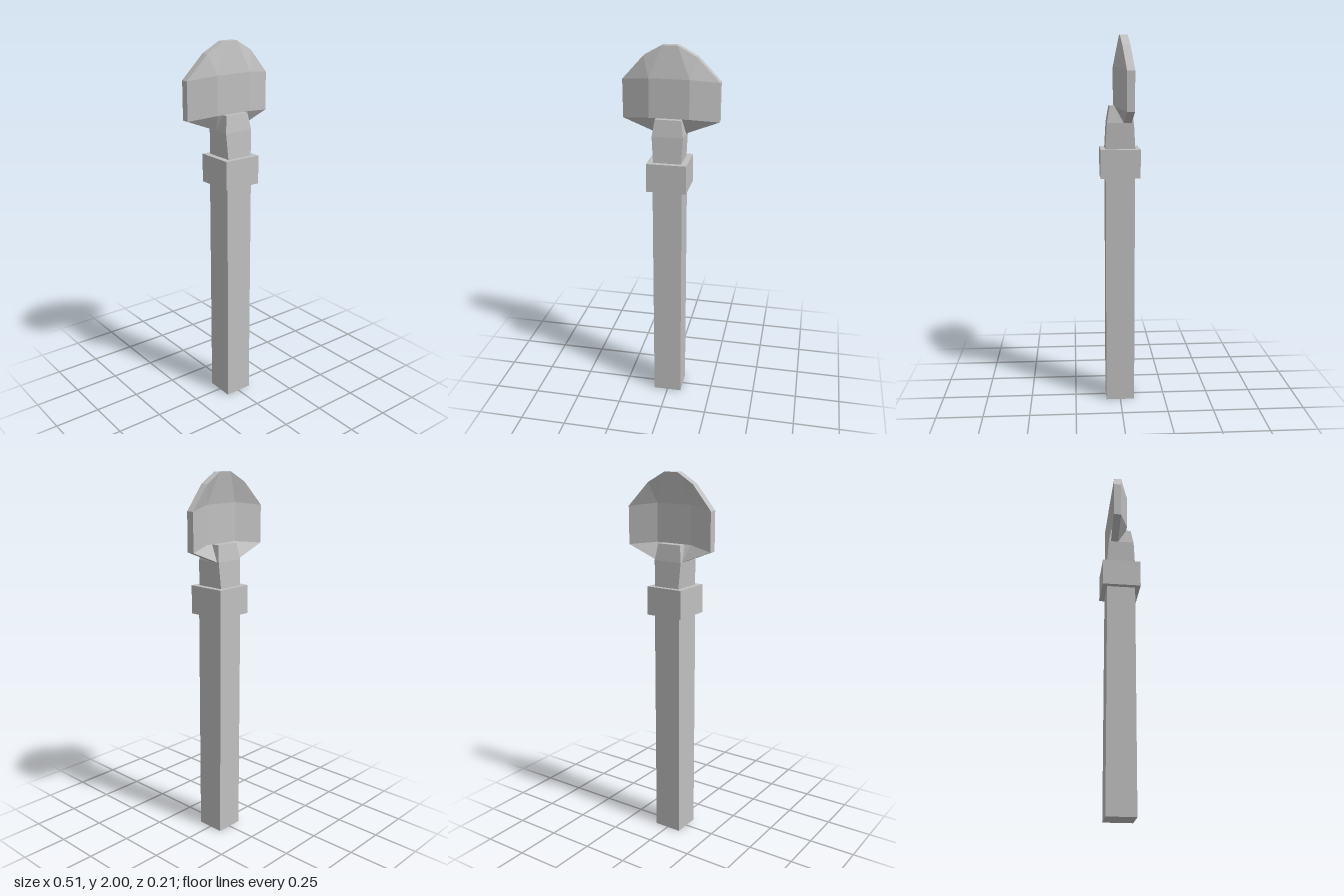
import * as THREE from 'three';

const steel = new THREE.MeshStandardMaterial({ color: 0xc0c0c0, flatShading: true });
steel.name = 'grey';

function part(name, geometry, y = 0) {
  const mesh = new THREE.Mesh(geometry, steel);
  mesh.name = name;
  mesh.position.y = y;
  return mesh;
}

// square block standing on height y0
function block(name, width, y0, y1) {
  return part(name, new THREE.BoxGeometry(width, y1 - y0, width), (y0 + y1) / 2);
}

// tapering block: each level gives height, half width and half depth
function socketGeometry() {
  const levels = [[1.4, 0.073, 0.08], [1.55, 0.082, 0.071], [1.637, 0.068, 0.056]];
  const geometry = new THREE.BoxGeometry(2, 2, 2, 1, 2, 1);
  const p = geometry.attributes.position;
  for (let i = 0; i < p.count; i++) {
    const [y, w, d] = levels[Math.round(p.getY(i)) + 1];
    p.setXYZ(i, p.getX(i) * w, y, p.getZ(i) * d);
  }
  geometry.computeVertexNormals();
  return geometry;
}

// dished blade: an outer rim joined to a raised centre plate, given thickness
function bladeGeometry() {
  const half = [[0.08, 1.55, -0.018], [0.254, 1.618, -0.021], [0.254, 1.82, -0.021],
    [0.138, 1.945, -0.006], [0.04, 2, 0.001]];
  const mirror = ([x, y, z]) => [-x, y, z];
  const rim = [...half, ...half.map(mirror).reverse()];
  const plate = [[0.105, 1.637, 0.03], [0.105, 1.84, 0.03], [-0.105, 1.84, 0.03], [-0.105, 1.637, 0.03]];
  const corner = [0, 0, 1, 1, 1, 2, 2, 2, 3, 3]; // plate corner nearest each rim point
  const back = ([x, y, z]) => [x, y, z - 0.041];
  const out = [];
  const tri = (a, b, c) => out.push(...a, ...b, ...c);
  const skin = (a, b, c) => {
    tri(a, b, c);
    tri(back(a), back(c), back(b));
  };
  rim.forEach((a, i) => {
    const j = (i + 1) % rim.length;
    const b = rim[j];
    skin(a, b, plate[corner[i]]);
    if (corner[i] !== corner[j]) skin(b, plate[corner[j]], plate[corner[i]]);
    // edge wall
    tri(a, back(a), back(b));
    tri(a, back(b), b);
  });
  skin(plate[0], plate[1], plate[2]);
  skin(plate[0], plate[2], plate[3]);
  const geometry = new THREE.BufferGeometry();
  geometry.setAttribute('position', new THREE.Float32BufferAttribute(out, 3));
  geometry.computeVertexNormals();
  return geometry;
}

export function createModel() {
  const model = new THREE.Group();
  model.name = 'shovel';
  model.add(
    block('shaft', 0.156, 0, 1.26),
    block('collar', 0.211, 1.26, 1.413),
    part('socket', socketGeometry()),
    part('blade', bladeGeometry()),
  );
  return model;
}
